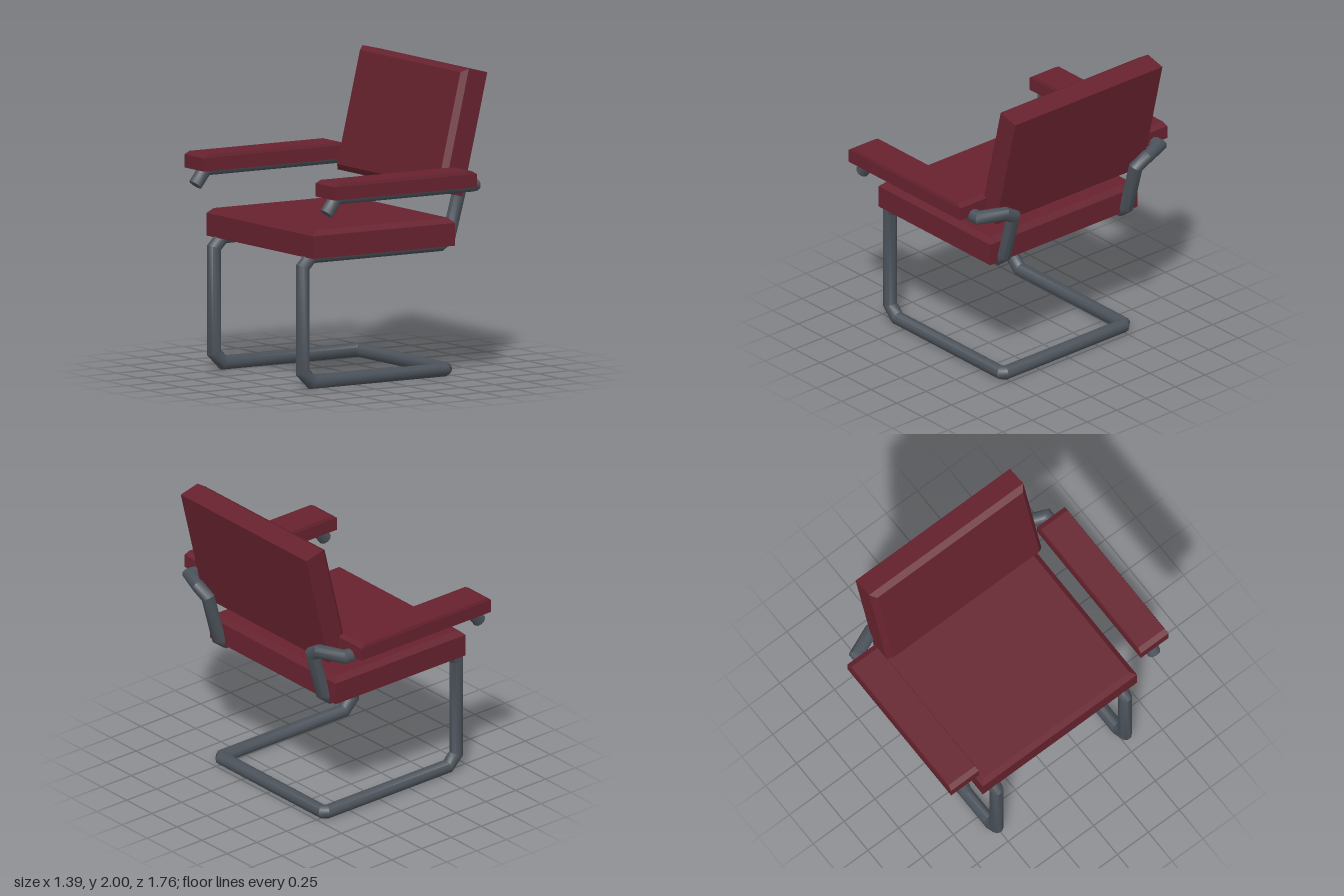
import * as THREE from 'three';
import { toCreasedNormals } from 'three/addons/utils/BufferGeometryUtils.js';

const upholstery = new THREE.MeshStandardMaterial({ color: 0x66222e });
upholstery.name = 'darkRedUpholstery';
const steel = new THREE.MeshStandardMaterial({ color: 0x4b525a });
steel.name = 'greySteel';

// Padded slab standing on y = 0, with its four top edges chamfered
function cushion(name, w, h, d, cx, cy, cz) {
  const geo = new THREE.BoxGeometry(w, h, d, 1, 2, 1).toNonIndexed();
  const p = geo.attributes.position;
  for (let i = 0; i < p.count; i++) {
    const y = p.getY(i);
    if (y > h * 0.4) {
      p.setX(i, Math.sign(p.getX(i)) * (w / 2 - cx));
      p.setZ(i, Math.sign(p.getZ(i)) * (d / 2 - cz));
    } else if (y > -h * 0.4) {
      p.setY(i, h / 2 - cy);
    }
  }
  geo.translate(0, h / 2, 0);
  geo.computeVertexNormals();
  const mesh = new THREE.Mesh(geo, upholstery);
  mesh.name = name;
  return mesh;
}

// Round bar following straight runs, with mitred joints and capped ends
function bentBar(points, radius, sides) {
  const pos = [], index = [];
  const dirs = points.slice(1).map((q, i) => q.clone().sub(points[i]).normalize());
  const u = new THREE.Vector3(0, 0, 1).cross(dirs[0]).normalize();
  const v = dirs[0].clone().cross(u);
  let ring = [];
  for (let j = 0; j < sides; j++) {
    const a = (j / sides) * Math.PI * 2;
    ring.push(points[0].clone()
      .addScaledVector(u, Math.cos(a) * radius)
      .addScaledVector(v, Math.sin(a) * radius));
  }
  points.forEach((c, i) => {
    if (i > 0) {
      // Slide the ring along the run until it meets the mitre plane
      const d = dirs[i - 1];
      const n = d.clone().add(dirs[i] || d).normalize();
      ring = ring.map((q) => q.clone().addScaledVector(d, c.clone().sub(q).dot(n) / d.dot(n)));
    }
    ring.forEach((q) => pos.push(q.x, q.y, q.z));
  });
  const last = points.length - 1;
  for (let i = 0; i < last; i++) {
    for (let j = 0; j < sides; j++) {
      const k = (j + 1) % sides;
      const a = i * sides + j, b = i * sides + k;
      index.push(a, b, a + sides, b, b + sides, a + sides);
    }
  }
  for (let j = 1; j < sides - 1; j++) {
    const e = last * sides;
    index.push(0, j + 1, j, e, e + j, e + j + 1);
  }
  const geo = new THREE.BufferGeometry();
  geo.setAttribute('position', new THREE.Float32BufferAttribute(pos, 3));
  geo.setIndex(index);
  return toCreasedNormals(geo, 0.7);
}

export function createModel() {
  const chair = new THREE.Group();
  chair.name = 'cantileverArmchair';

  // Frame: one continuous bar, arm tip to rear floor rail, then mirrored
  const half = [
    [-0.637, 1.175, 0.768],
    [-0.56, 1.275, 0.768],
    [0.49, 1.275, 0.768],
    [0.56, 1.275, 0.6],
    [0.55, 1.225, 0.52],
    [0.465, 0.915, 0.52],
    [0.4, 0.866, 0.52],
    [-0.59, 0.866, 0.52],
    [-0.655, 0.8, 0.52],
    [-0.655, 0.12, 0.52],
    [-0.585, 0.05, 0.52],
    [0.425, 0.05, 0.52],
    [0.45, 0.05, 0.495],
  ].map((p) => new THREE.Vector3(...p));
  const mirrored = half.map((p) => new THREE.Vector3(p.x, p.y, -p.z)).reverse();
  const frame = new THREE.Mesh(bentBar([...half, ...mirrored], 0.045, 10), steel);
  frame.name = 'tubularFrame';
  chair.add(frame);

  // Seat
  const seat = cushion('seat', 1.09, 0.18, 1.25, 0.035, 0.033, 0.035);
  seat.position.set(-0.1, 0.865, 0);
  chair.add(seat);

  // Backrest: chamfered side turned to the sitter, leaning back
  const back = cushion('backrest', 0.813, 0.18, 1.25, 0.033, 0.035, 0.035);
  back.rotation.z = Math.PI / 2 - 0.236;
  back.position.set(0.596, 1.575, 0);
  chair.add(back);

  // Armrests
  for (const [side, name] of [[1, 'leftArmrest'], [-1, 'rightArmrest']]) {
    const arm = cushion(name, 1.09, 0.106, 0.225, 0.035, 0.02, 0.006);
    arm.position.set(-0.1, 1.275, side * 0.768);
    chair.add(arm);
  }
  return chair;
}
